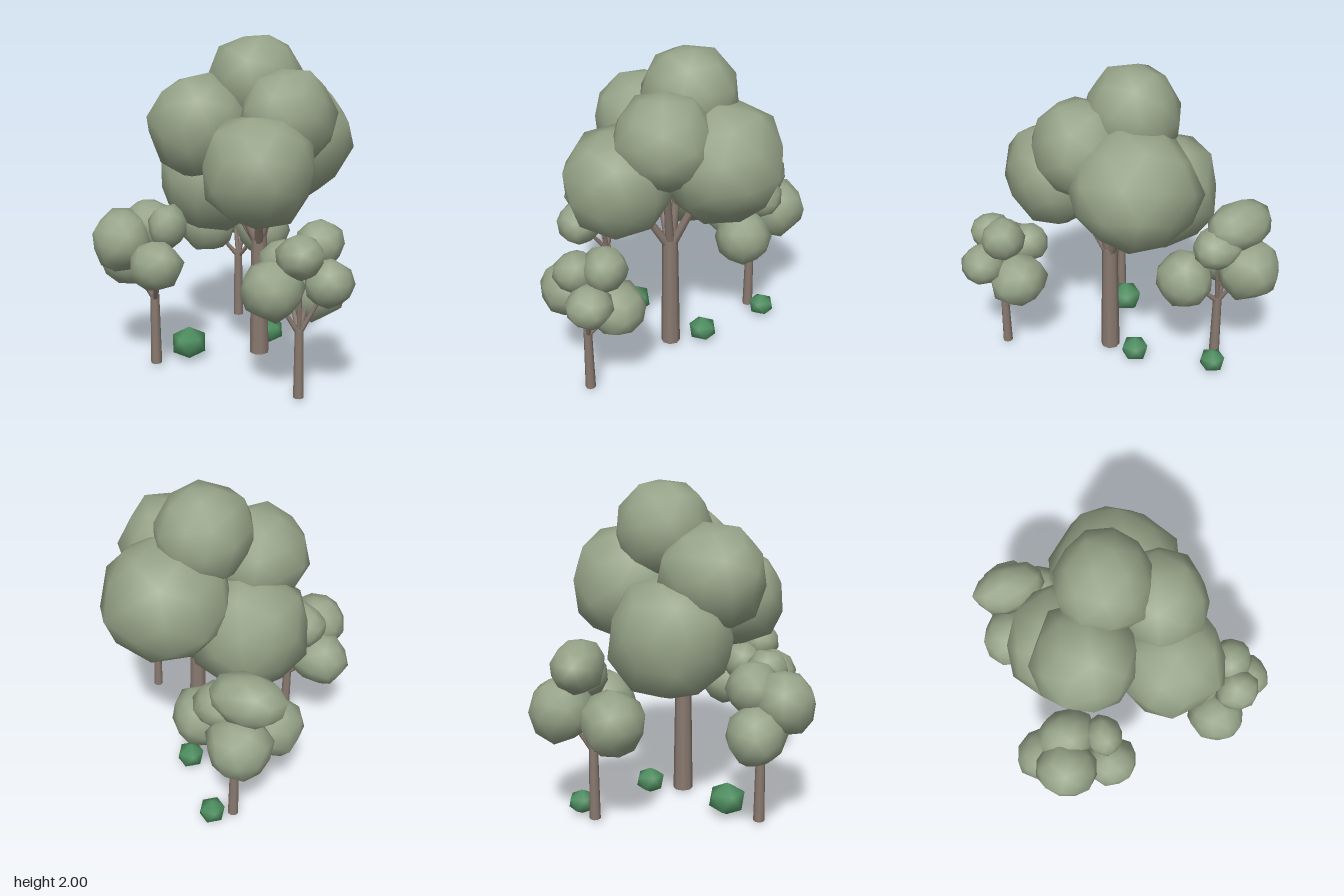
import * as THREE from 'three';
import { mergeVertices } from 'three/addons/utils/BufferGeometryUtils.js';

const foliage = new THREE.MeshStandardMaterial({ name: 'sageFoliage', color: 0x96a388 });
const bark = new THREE.MeshStandardMaterial({ name: 'greyBrownBark', color: 0x897a70 });
const shrub = new THREE.MeshStandardMaterial({ name: 'bushGreen', color: 0x4e8f60 });

// small seeded random generator
let state = 4321;
const rand = () => (state = (state * 16807) % 2147483647) / 2147483647;

// smooth-shaded low-poly ball, welded so that neighbouring faces share normals
function ball(detail) {
  const g = new THREE.IcosahedronGeometry(1, detail);
  g.deleteAttribute('normal');
  g.deleteAttribute('uv');
  return mergeVertices(g, 1e-4);
}

// roughened leaf ball with the given radius, optionally wider along x
function leafBall(radius, wide = 1) {
  const g = ball(1);
  g.rotateY(rand() * 6.28).rotateZ(rand() * 6.28);
  const p = g.attributes.position;
  const v = new THREE.Vector3();
  for (let i = 0; i < p.count; i++) {
    v.fromBufferAttribute(p, i).multiplyScalar(0.93 + rand() * 0.14);
    p.setXYZ(i, v.x, v.y, v.z);
  }
  g.center();
  const b = g.boundingBox.getSize(new THREE.Vector3()).multiplyScalar(0.5);
  g.scale((radius * wide) / b.x, radius / b.y, radius / b.z);
  g.computeVertexNormals();
  return g;
}

// bush: an icosahedron standing on one corner
function bushBall(radius) {
  const g = ball(0);
  g.rotateX(-Math.atan((1 + Math.sqrt(5)) / 2));
  g.scale(radius * 1.1, radius, radius * 1.15);
  g.computeVertexNormals();
  return g;
}

function add(group, name, geometry, material, x, y, z) {
  const mesh = new THREE.Mesh(geometry, material);
  mesh.name = name;
  mesh.position.set(x, y, z);
  group.add(mesh);
  return mesh;
}

// tapered limb between two points
function limb(group, name, from, to, r0, r1) {
  const dir = to.clone().sub(from);
  const mid = from.clone().lerp(to, 0.5);
  const geo = new THREE.CylinderGeometry(r1, r0, dir.length(), 8);
  const mesh = add(group, name, geo, bark, mid.x, mid.y, mid.z);
  mesh.quaternion.setFromUnitVectors(new THREE.Vector3(0, 1, 0), dir.normalize());
}

// trunk, then one branch reaching into each leaf ball (x, y, z, radius, width)
function makeTree(name, x, z, top, r, leaves) {
  const tree = new THREE.Group();
  tree.name = name;
  limb(tree, 'trunk', new THREE.Vector3(x, 0.02, z), new THREE.Vector3(x, top, z), r, r * 0.8);
  const fork = new THREE.Vector3(x, top - r, z);
  for (const [lx, ly, lz, radius, wide] of leaves) {
    const tip = fork.clone().lerp(new THREE.Vector3(lx, ly, lz), 0.8);
    limb(tree, 'branch', fork, tip, r * 0.48, r * 0.28);
    add(tree, 'leafBall', leafBall(radius, wide), foliage, lx, ly, lz);
  }
  return tree;
}

export function createModel() {
  const model = new THREE.Group();
  model.name = 'grove';

  model.add(makeTree('largeTree', 0.03, 0.055, 0.78, 0.062, [
    [-0.05, 1.71, -0.06, 0.29],
    [-0.28, 1.47, 0.22, 0.315],
    [0.24, 1.515, 0.075, 0.3, 0.93],
    [0.19, 1.245, 0.35, 0.32],
    [0.09, 1.365, -0.25, 0.365, 1.06],
    [-0.33, 1.13, -0.01, 0.36],
  ]));
  model.add(makeTree('frontRightTree', -0.435, 0.52, 0.46, 0.034, [
    [-0.66, 0.65, 0.48, 0.175, 1.06],
    [-0.505, 0.87, 0.46, 0.16, 1.1],
    [-0.58, 0.815, 0.63, 0.18, 1.05],
    [-0.3, 0.705, 0.68, 0.143, 1.12],
    [-0.3, 0.91, 0.55, 0.13, 0.85],
  ]));
  model.add(makeTree('frontLeftTree', 0.55, 0.52, 0.43, 0.032, [
    [0.435, 0.665, 0.635, 0.172, 1.03],
    [0.55, 0.6, 0.34, 0.173],
    [0.71, 0.71, 0.475, 0.138, 0.94],
    [0.61, 0.9, 0.39, 0.135],
    [0.58, 0.86, 0.57, 0.125, 1.12],
    [0.4, 0.77, 0.44, 0.128],
  ]));
  model.add(makeTree('backRightTree', -0.435, -0.465, 0.48, 0.034, [
    [-0.53, 1.005, -0.53, 0.15, 1.53],
    [-0.51, 0.745, -0.63, 0.19, 1.05],
    [-0.35, 0.9, -0.52, 0.138, 1.15],
    [-0.2, 0.695, -0.41, 0.185],
    [-0.59, 0.7, -0.33, 0.187, 1.07],
  ]));

  // bushes: x, z and radius, each resting on the ground
  for (const [x, z, radius] of [[-0.32, 0.33, 0.105], [-0.01, -0.155, 0.084], [-0.33, -0.555, 0.078]]) {
    add(model, 'bush', bushBall(radius), shrub, x, radius, z);
  }
  return model;
}
